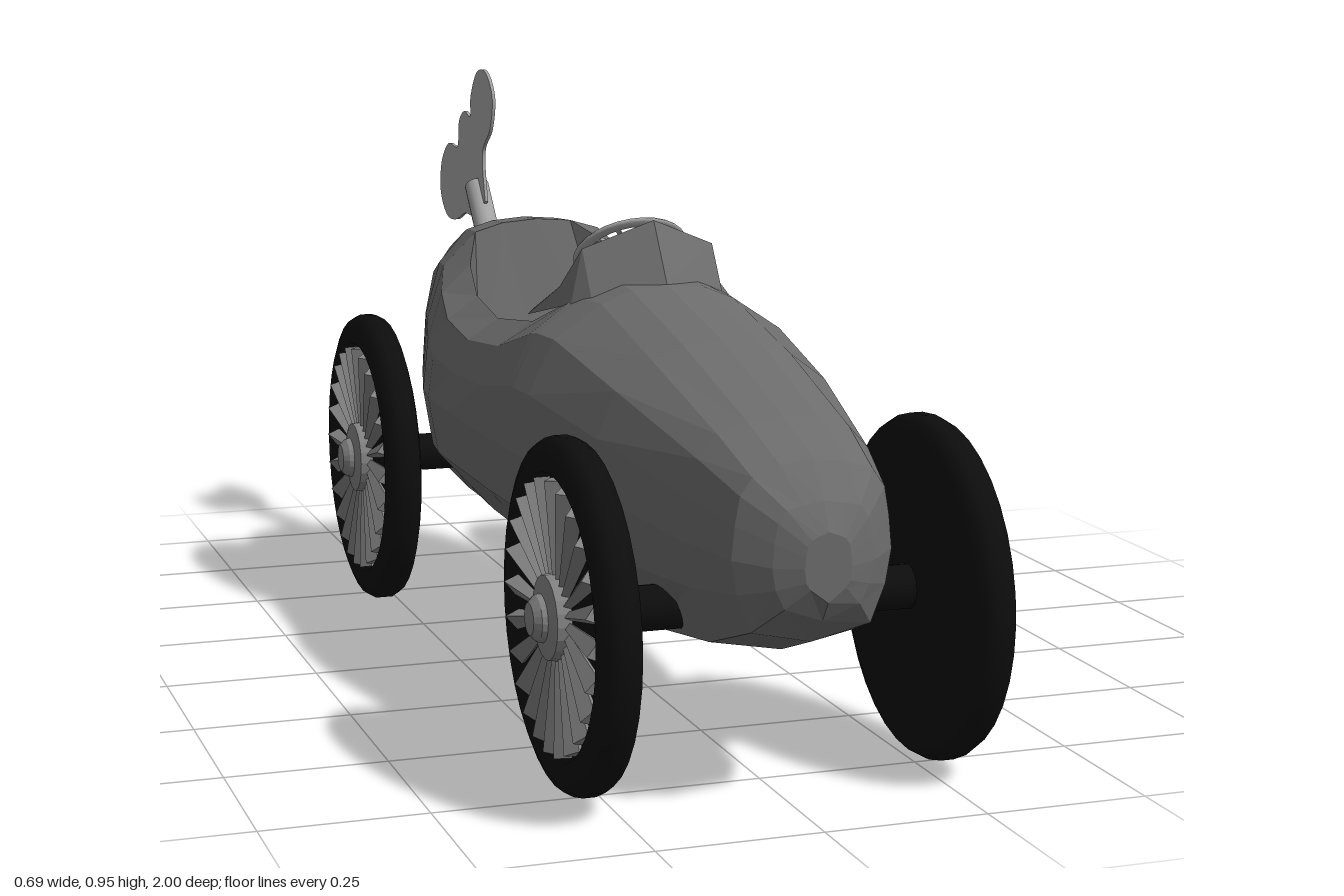
import * as THREE from 'three';

const mat = (name, color, extra = {}) => new THREE.MeshStandardMaterial({ name, color, ...extra });
const bodyGrey = mat('body grey', 0x6c6c6c, { flatShading: true, side: THREE.DoubleSide });
const tyreBlack = mat('tyre black', 0x0d0d0d);
const wheelGrey = mat('wheel grey', 0x828282, { flatShading: true });
const metal = mat('light metal', 0xa4a4a4);

function mesh(name, geometry, material, parent) {
  const m = new THREE.Mesh(geometry, material);
  m.name = name;
  parent.add(m);
  return m;
}

// Cylinder running from point a to point b
function rod(name, a, b, r, material, parent, sides = 16) {
  const d = b.clone().sub(a);
  const m = mesh(name, new THREE.CylinderGeometry(r, r, d.length(), sides), material, parent);
  m.position.copy(a).addScaledVector(d, 0.5);
  m.quaternion.setFromUnitVectors(new THREE.Vector3(0, 1, 0), d.normalize());
  return m;
}

const v = (x, y, z) => new THREE.Vector3(x, y, z);
const lerp = THREE.MathUtils.lerp;

function geometryFrom(triangles) {
  const g = new THREE.BufferGeometry().setFromPoints(triangles);
  g.computeVertexNormals();
  return g;
}

// Cross-sections, nose to tail: z, half width, bottom, widest height,
// rim x, rim y, inner y, centre y. The roof sinks to a floor in the cockpit.
const sections = [
  [1.0, 0.035, 0.33, 0.38, 0.025, 0.42, 0.425, 0.43],
  [0.98, 0.075, 0.3, 0.38, 0.055, 0.46, 0.465, 0.47],
  [0.94, 0.12, 0.26, 0.385, 0.09, 0.5, 0.515, 0.52],
  [0.83, 0.15, 0.22, 0.39, 0.1, 0.54, 0.555, 0.56],
  [0.58, 0.205, 0.18, 0.41, 0.11, 0.605, 0.625, 0.63],
  [0.34, 0.24, 0.175, 0.42, 0.11, 0.655, 0.675, 0.68],
  [0.27, 0.245, 0.175, 0.42, 0.12, 0.655, 0.68, 0.685],
  [0.25, 0.246, 0.175, 0.42, 0.13, 0.65, 0.38, 0.36],
  [0.1, 0.25, 0.175, 0.42, 0.15, 0.595, 0.38, 0.36],
  [-0.07, 0.25, 0.175, 0.42, 0.16, 0.575, 0.38, 0.36],
  [-0.2, 0.25, 0.175, 0.42, 0.16, 0.595, 0.38, 0.36],
  [-0.28, 0.238, 0.175, 0.42, 0.15, 0.64, 0.38, 0.36],
  [-0.37, 0.215, 0.18, 0.42, 0.115, 0.685, 0.7, 0.705],
  [-0.45, 0.195, 0.18, 0.42, 0.11, 0.68, 0.695, 0.7],
  [-0.6, 0.155, 0.19, 0.42, 0.1, 0.63, 0.655, 0.665],
  [-0.68, 0.132, 0.21, 0.42, 0.09, 0.565, 0.59, 0.6],
  [-0.73, 0.105, 0.26, 0.42, 0.075, 0.49, 0.515, 0.52],
  [-0.76, 0.05, 0.33, 0.41, 0.035, 0.43, 0.44, 0.445],
];

function ring([z, w, yb, ym, rx, ry, iy, ty]) {
  const half = [
    v(0, yb, z),
    v(Math.min(0.11, 0.75 * w), yb + 0.02, z),
    v(0.93 * w, lerp(yb, ym, 0.6), z),
    v(w, ym, z),
    v(0.96 * w, lerp(ym, ry, 0.42), z),
    v(lerp(rx, w, 0.6), lerp(ym, ry, 0.78), z),
    v(rx, ry, z),
    v((ty < ry ? 0.88 : 0.55) * rx, iy, z),
    v(0, ty, z),
  ];
  const mirrored = half.slice(1, -1).reverse().map((p) => v(-p.x, p.y, z));
  return [...half, ...mirrored];
}

function buildBody(parent) {
  const rings = sections.map(ring);
  const n = rings[0].length;
  const t = [];
  const last = rings.length - 1;
  const noseTip = v(0, 0.38, 1.0), tailTip = v(0, 0.39, -0.765);
  for (let j = 0; j < n; j++) {
    const k = (j + 1) % n;
    for (let i = 0; i < last; i++) {
      const a = rings[i][j], b = rings[i][k], c = rings[i + 1][k], d = rings[i + 1][j];
      t.push(a, d, c, a, c, b);
    }
    t.push(noseTip, rings[0][j], rings[0][k], tailTip, rings[last][k], rings[last][j]);
  }
  mesh('body', geometryFrom(t), bodyGrey, parent);

  // Cowl: a raised screen that wraps around the front of the cockpit
  const base = [v(-0.165, 0.61, 0.12), v(-0.135, 0.645, 0.26), v(-0.11, 0.655, 0.29), v(0, 0.68, 0.335)];
  const top = [v(-0.15, 0.615, 0.1), v(-0.135, 0.665, 0.2), v(-0.11, 0.73, 0.24), v(0, 0.775, 0.27)];
  const mirror = (row) => [...row, ...row.slice(0, -1).reverse().map((p) => v(-p.x, p.y, p.z))];
  const lo = mirror(base), hi = mirror(top), s = [];
  for (let i = 0; i < lo.length - 1; i++) s.push(lo[i], lo[i + 1], hi[i + 1], lo[i], hi[i + 1], hi[i]);
  mesh('cowl', geometryFrom(s), bodyGrey, parent);
}

// Wheel built around +y (outer face up), then turned so +y faces sideways
function buildWheel(name, side, z, parent) {
  const wheel = new THREE.Group();
  wheel.name = name;
  const profile = [
    [0, -0.03], [0.235, -0.03], [0.253, -0.024], [0.261, -0.01], [0.261, 0.01],
    [0.253, 0.024], [0.235, 0.031], [0.21, 0.03], [0.202, 0.018], [0, 0.016],
  ].map(([r, y]) => new THREE.Vector2(r, y));
  mesh('tyre', new THREE.LatheGeometry(profile, 36), tyreBlack, wheel);

  // Fan of wedge spokes
  const count = 24;
  for (let i = 0; i < count; i++) {
    const arm = new THREE.Group();
    arm.name = 'spokeArm';
    arm.rotation.y = (i / count) * Math.PI * 2;
    const g = new THREE.CylinderGeometry(0.022, 0.007, 0.16, 4);
    g.scale(1, 1, 0.75);
    g.rotateZ(-Math.PI / 2);
    g.rotateX(0.25);
    const spoke = mesh('spoke', g, wheelGrey, arm);
    spoke.position.set(0.122, 0.019, 0);
    wheel.add(arm);
  }
  const hub = [[0, 0.064], [0.024, 0.062], [0.034, 0.052], [0.036, 0.044], [0.062, 0.038], [0.065, 0.016]]
    .reverse().map(([r, y]) => new THREE.Vector2(r, y));
  mesh('hub', new THREE.LatheGeometry(hub, 20), wheelGrey, wheel);
  wheel.rotation.z = -side * Math.PI / 2;
  wheel.position.set(side * 0.28, 0.263, z);
  parent.add(wheel);
}

function buildSteering(parent) {
  const steering = new THREE.Group();
  steering.name = 'steeringWheel';
  const rim = new THREE.TorusGeometry(0.083, 0.011, 8, 28);
  rim.rotateX(Math.PI / 2);
  rim.scale(1, 0.5, 1);
  mesh('rim', rim, metal, steering);
  for (let i = 0; i < 6; i++) {
    const bar = mesh('steeringSpokes', new THREE.BoxGeometry(0.16, 0.006, 0.007), metal, steering);
    bar.rotation.y = (i * Math.PI) / 6;
  }
  mesh('boss', new THREE.CylinderGeometry(0.02, 0.02, 0.012, 16), metal, steering);
  steering.position.set(0, 0.713, 0.15);
  steering.rotation.x = -0.686;
  parent.add(steering);
  rod('steeringColumn', v(0, 0.71, 0.152), v(0, 0.59, 0.252), 0.011, metal, parent, 10);
}

function buildKey(parent) {
  const key = new THREE.Group();
  key.name = 'windUpKey';
  rod('keyShaft', v(0, 0.585, -0.645), v(0, 0.725, -0.77), 0.023, metal, key);
  // Butterfly blade outline as (z, y)
  const outline = [
    [-0.705, 0.7], [-0.728, 0.79], [-0.685, 0.84], [-0.675, 0.9], [-0.72, 0.945], [-0.775, 0.942],
    [-0.81, 0.895], [-0.812, 0.855], [-0.85, 0.862], [-0.882, 0.84], [-0.89, 0.79], [-0.95, 0.79],
    [-0.993, 0.75], [-0.995, 0.69], [-0.95, 0.648], [-0.89, 0.645], [-0.83, 0.664], [-0.765, 0.665],
  ].map(([z, y]) => new THREE.Vector2(z, y));
  const shape = new THREE.Shape();
  shape.moveTo(outline[0].x, outline[0].y);
  shape.splineThru([...outline.slice(1), outline[0]]);
  const g = new THREE.ExtrudeGeometry(shape, { depth: 0.006, bevelEnabled: false, curveSegments: 60 });
  g.rotateY(-Math.PI / 2);
  // Slight turn of the blade about its shaft
  const p = g.attributes.position;
  for (let i = 0; i < p.count; i++) {
    const across = (p.getZ(i) + 0.765) * 0.77 + (p.getY(i) - 0.72) * 0.64;
    p.setX(i, p.getX(i) + 0.003 + across * 0.045);
  }
  g.computeVertexNormals();
  mesh('keyBlade', g, metal, key);
  parent.add(key);
}

export function createModel() {
  const car = new THREE.Group();
  car.name = 'toyRacingCar';
  buildBody(car);
  for (const [end, z] of [['front', 0.712], ['rear', -0.487]]) {
    rod(end + 'Axle', v(-0.26, 0.265, z), v(0.26, 0.265, z), 0.034, tyreBlack, car);
    buildWheel(end + 'LeftWheel', 1, z, car);
    buildWheel(end + 'RightWheel', -1, z, car);
  }
  buildSteering(car);
  buildKey(car);
  return car;
}
